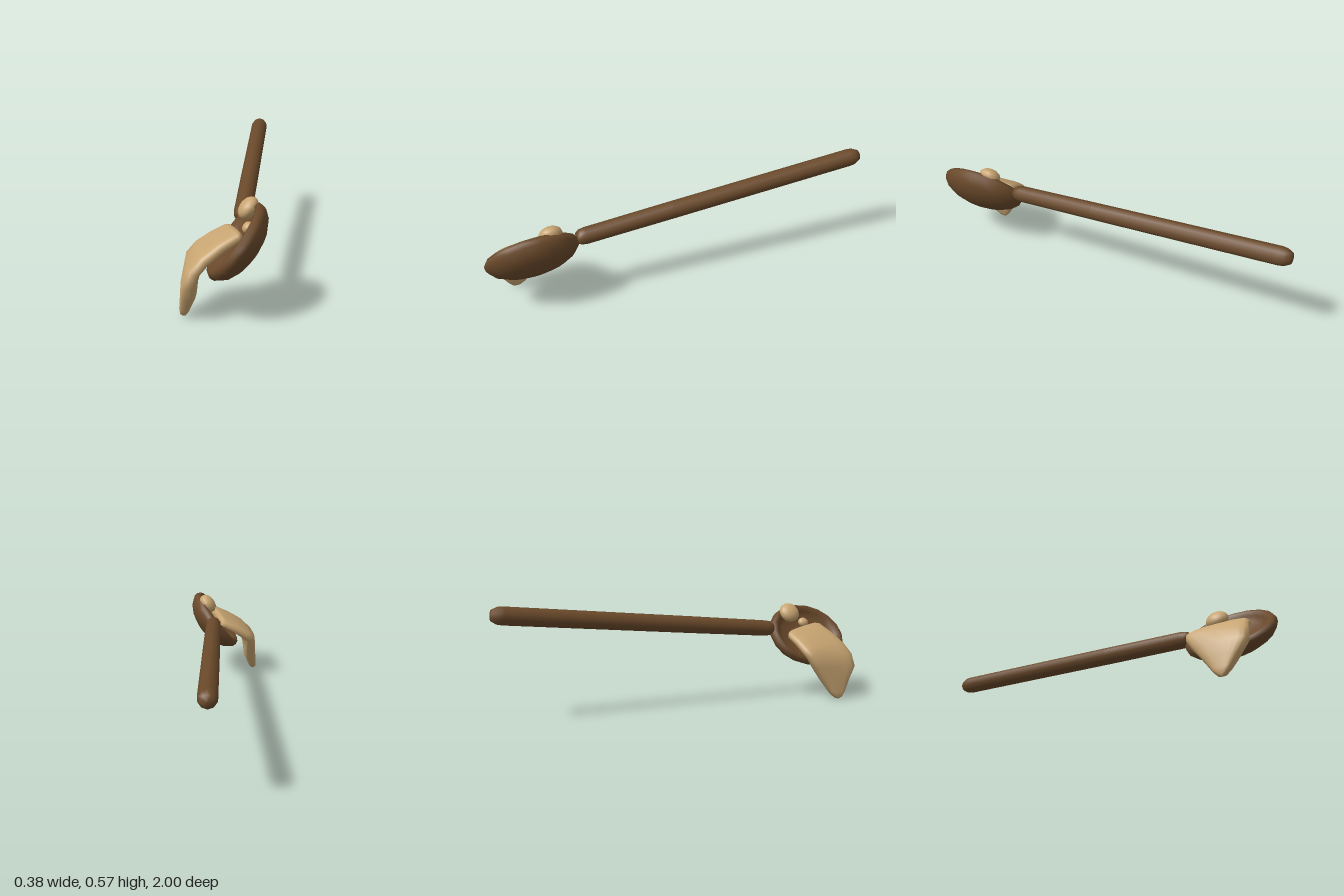
import * as THREE from 'three';

const wood = new THREE.MeshStandardMaterial({ color: 0x6b4a2b });
const food = new THREE.MeshStandardMaterial({ color: 0xc8a572 });
const PITCH = 0.103, ROLL = 0.905;

function mesh(name, geometry, material) {
  const m = new THREE.Mesh(geometry, material);
  m.name = name;
  return m;
}

function lathe(points, segments) {
  return new THREE.LatheGeometry(points.map(p => new THREE.Vector2(...p)), segments);
}

// Rounded slab lofted through rows of [back point, front point, half thickness, scale]
function slab(rows, sides = 20) {
  const V = p => new THREE.Vector3(...p);
  const mids = rows.map(([b, f]) => V(b).add(V(f)).multiplyScalar(0.5));
  const soft = v => Math.sign(v) * Math.pow(Math.abs(v), 0.6);
  const pos = [], index = [];
  rows.forEach(([b, f, thick, scale], i) => {
    const half = V(f).sub(V(b)).multiplyScalar(0.5);
    const along = mids[Math.min(i + 1, mids.length - 1)].clone().sub(mids[Math.max(i - 1, 0)]);
    const normal = along.cross(half).normalize();
    for (let j = 0; j < sides; j++) {
      const a = (j / sides) * Math.PI * 2;
      const p = mids[i].clone()
        .addScaledVector(half, soft(Math.cos(a)) * scale)
        .addScaledVector(normal, soft(Math.sin(a)) * thick * scale);
      pos.push(p.x, p.y, p.z);
      if (i < rows.length - 1) {
        const k = (j + 1) % sides, r = i * sides, n = r + sides;
        index.push(r + j, r + k, n + j, r + k, n + k, n + j);
      }
    }
  });
  const g = new THREE.BufferGeometry();
  g.setAttribute('position', new THREE.Float32BufferAttribute(pos, 3));
  g.setIndex(index);
  g.computeVertexNormals();
  return g;
}

export function createModel() {
  const group = new THREE.Group();

  // Oval bowl, rolled on its side and pitched with the handle
  const bowl = mesh('bowl', lathe([
    [0, -0.122], [0.06, -0.118], [0.115, -0.102], [0.16, -0.075], [0.186, -0.04],
    [0.188, -0.018], [0.178, 0], [0.162, 0], [0.148, -0.015], [0.125, -0.035],
    [0.07, -0.045], [0, -0.047],
  ], 18), wood);
  bowl.scale.z = 1.25;
  bowl.rotation.set(PITCH, 0, ROLL);
  bowl.position.set(0.03, 0.34, 0.765);
  group.add(bowl);

  // Long round handle with softened ends
  const handle = mesh('handle', lathe([
    [0, 0], [0.026, 0.003], [0.038, 0.02], [0.042, 0.05], [0.044, 0.5],
    [0.045, 1.49], [0.042, 1.52], [0.028, 1.548], [0, 1.553],
  ], 10), wood);
  handle.rotation.x = PITCH - Math.PI / 2;
  handle.position.set(0.058, 0.372, 0.545);
  group.add(handle);

  // Slice draped over the low side of the rim, narrowing to a hanging tip
  group.add(mesh('drapedSlice', slab([
    [[0.005, 0.345, 0.605], [0.085, 0.375, 0.86], 0.025, 0.001],
    [[0.005, 0.345, 0.605], [0.085, 0.375, 0.86], 0.022, 0.9],
    [[-0.01, 0.338, 0.605], [0.07, 0.367, 0.865], 0.026, 1],
    [[-0.07, 0.305, 0.615], [0.0, 0.327, 0.89], 0.03, 1],
    [[-0.13, 0.265, 0.625], [-0.07, 0.275, 0.92], 0.032, 1],
    [[-0.158, 0.232, 0.64], [-0.115, 0.225, 0.94], 0.034, 1],
    [[-0.155, 0.175, 0.675], [-0.14, 0.165, 0.945], 0.036, 1],
    [[-0.156, 0.1, 0.73], [-0.152, 0.095, 0.9], 0.034, 1],
    [[-0.17, 0.035, 0.775], [-0.17, 0.035, 0.865], 0.023, 1],
    [[-0.177, 0.01, 0.8], [-0.177, 0.01, 0.845], 0.014, 1],
    [[-0.182, 0, 0.8], [-0.182, 0, 0.845], 0.014, 0.001],
  ]), food));

  // Two small lumps lying in the bowl
  [
    ['largeLump', [0.094, 0.448, 0.675], [0.056, 0.038, 0.058]],
    ['smallLump', [0.098, 0.388, 0.77], [0.027, 0.022, 0.03]],
  ].forEach(([name, at, radii]) => {
    const lump = mesh(name, new THREE.SphereGeometry(1, 16, 12), food);
    lump.scale.set(...radii);
    lump.rotation.set(PITCH, 0, ROLL);
    lump.position.set(...at);
    group.add(lump);
  });

  return group;
}
